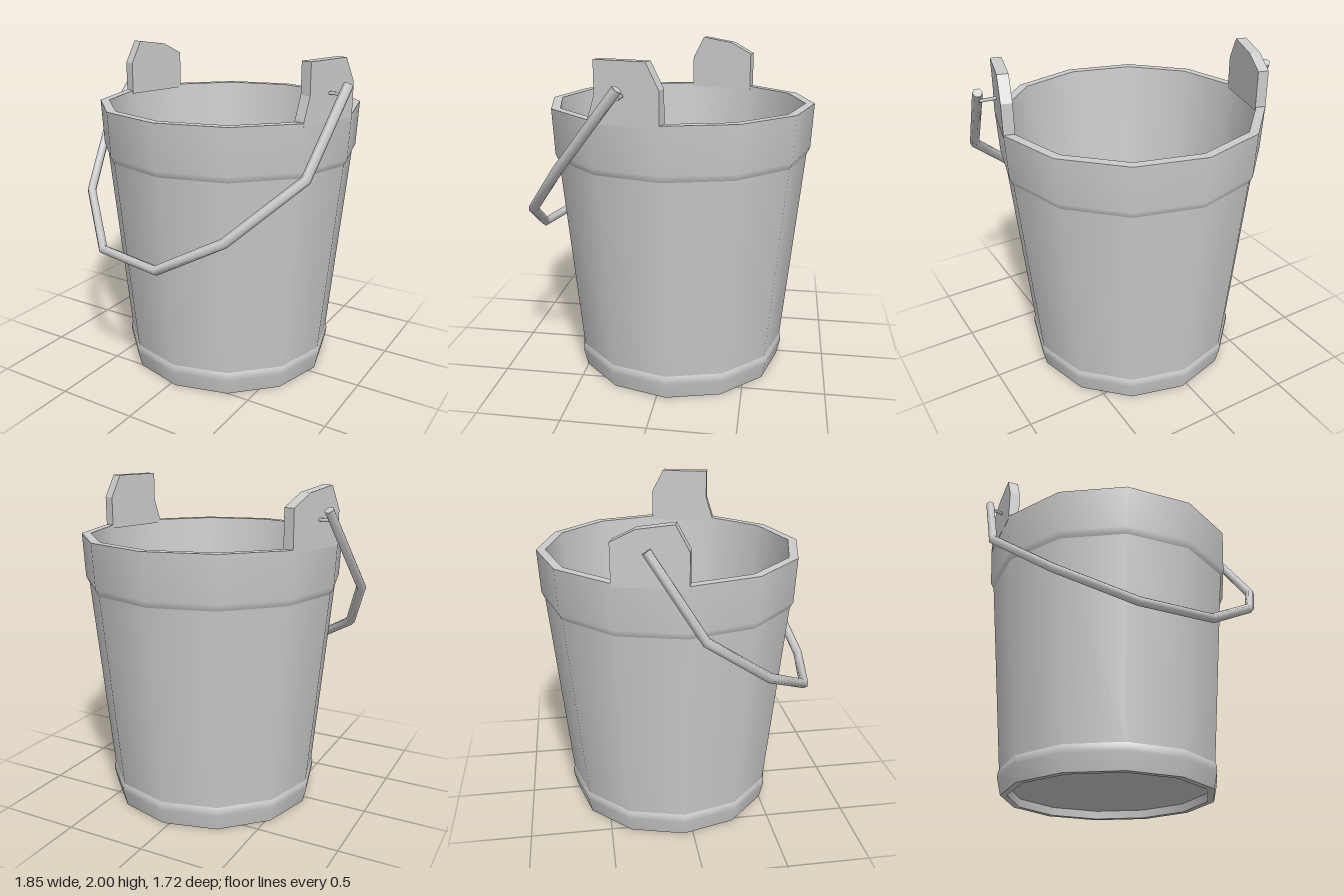
import * as THREE from 'three';

const SIDES = 12;
const RIM_R = 0.805;
const RIM_Y = 1.68;

const mat = new THREE.MeshStandardMaterial({ color: 0xcccccc });

function add(parent, name, geometry) {
  const mesh = new THREE.Mesh(geometry, mat);
  mesh.name = name;
  parent.add(mesh);
  return mesh;
}

// Twelve-sided ring surface from [radius, height] pairs
function ring(profile) {
  const g = new THREE.LatheGeometry(profile.map(([r, y]) => new THREE.Vector2(r, y)), SIDES);
  g.normalizeNormals();
  return g;
}

// Polyline whose samples fall exactly on its corners
class Polyline extends THREE.Curve {
  constructor(points) {
    super();
    this.points = points;
  }
  getPoint(t, target = new THREE.Vector3()) {
    const last = this.points.length - 1;
    const i = Math.min(Math.floor(t * last + 1e-9), last - 1);
    return target.lerpVectors(this.points[i], this.points[i + 1], t * last - i);
  }
  getUtoTmapping(u) {
    return u;
  }
}

function createBucket() {
  const bucket = new THREE.Group();
  bucket.name = 'bucket';
  bucket.position.set(0.035, 0, -0.055);

  // Outer wall with the raised bands at foot and rim
  add(bucket, 'footBand', ring([[0.645, 0], [0.668, 0.1], [0.668, 0.13], [0.66, 0.15]]));
  add(bucket, 'outerWall', ring([[0.66, 0.15], [0.772, 1.37]]));
  add(bucket, 'rimBand', ring([[0.772, 1.37], [0.792, 1.41], [RIM_R, RIM_Y]]));

  // Rim top, inside wall and floor
  add(bucket, 'rimTop', ring([[RIM_R, RIM_Y], [0.75, RIM_Y]]));
  add(bucket, 'innerWall', ring([[0.75, RIM_Y], [0.61, 0.14], [0.57, 0.1], [0, 0.1]]));

  // Foot edge and slightly recessed underside
  add(bucket, 'underside', ring([[0, 0.05], [0.6, 0.05]]));
  add(bucket, 'footInside', ring([[0.6, 0.05], [0.605, 0]]));
  add(bucket, 'footEdge', ring([[0.605, 0], [0.645, 0]]));

  // Raised staves that carry the handle, each on one facet of the rim
  const outlines = {
    leftLug: [[0, 1.66], [0.417, 1.66], [0.417, 1.69], [0.375, 1.82], [0.375, 2], [0.075, 2], [0, 1.86]],
    rightLug: [[0, 1.66], [0.417, 1.66], [0.417, 1.9], [0.28, 1.97], [0.075, 2], [0, 1.86]],
  };
  for (const [name, side] of [['leftLug', 1], ['rightLug', -1]]) {
    const shape = new THREE.Shape(outlines[name].map(([x, y]) => new THREE.Vector2(x, y)));
    const lug = add(bucket, name, new THREE.ExtrudeGeometry(shape, { depth: 0.065, bevelEnabled: false }));
    lug.position.x = side * RIM_R;
    lug.rotation.y = THREE.MathUtils.degToRad(side > 0 ? -105 : 75);
  }
  return bucket;
}

function createHandle() {
  const handle = new THREE.Group();
  handle.name = 'handle';

  // Bail hanging forward over the front
  const points = [
    [-0.79, 1.88, -0.28], [-0.9, 1.42, 0.01], [-0.72, 1.1, 0.41], [-0.37, 0.87, 0.73],
    [0.09, 0.87, 0.83], [0.49, 1.09, 0.765], [0.825, 1.42, 0.5], [0.89, 1.87, 0.15],
  ].map((p) => new THREE.Vector3(...p));
  add(handle, 'bail', new THREE.TubeGeometry(new Polyline(points), points.length - 1, 0.029, 6));

  // Closed ends of the bail
  for (const [end, next] of [[points[0], points[1]], [points[7], points[6]]]) {
    const cap = add(handle, 'bailEnd', new THREE.CircleGeometry(0.029, 6));
    cap.position.copy(end);
    cap.lookAt(end.clone().multiplyScalar(2).sub(next));
  }

  // Pins joining the bail to the lugs
  for (const [name, x, z] of [['leftPin', 0.825, 0.15], ['rightPin', -0.755, -0.235]]) {
    const pin = add(handle, name, new THREE.CylinderGeometry(0.01, 0.01, 0.12, 6));
    pin.rotation.z = Math.PI / 2;
    pin.position.set(x, 1.82, z);
  }
  return handle;
}

export function createModel() {
  const model = new THREE.Group();
  model.name = 'bucketWithHandle';
  model.add(createBucket(), createHandle());
  return model;
}
